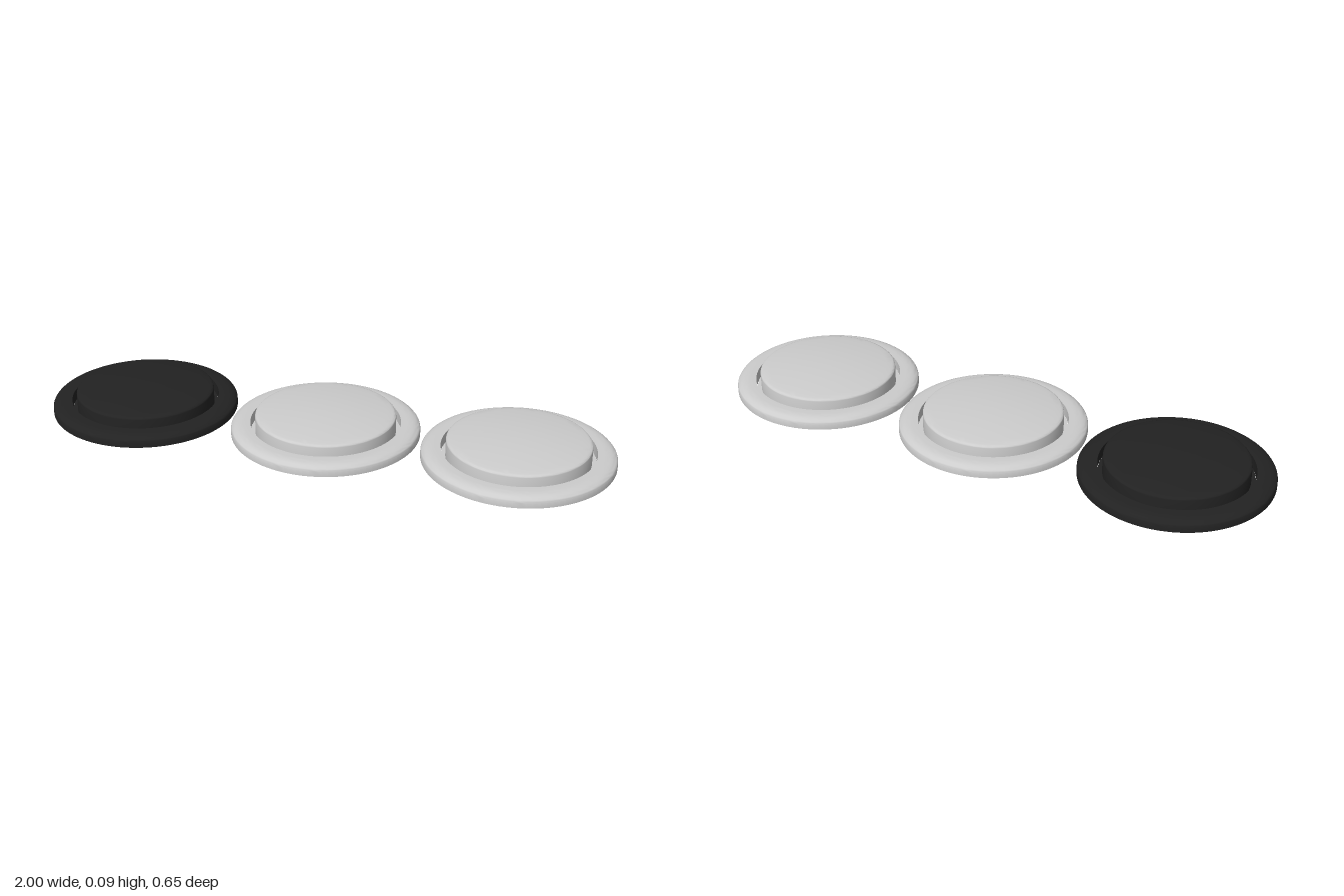
import * as THREE from 'three';
import { toCreasedNormals } from 'three/addons/utils/BufferGeometryUtils.js';

// Turned part from a profile of [radius, height] points, listed bottom, outside, top, inside
function turned(name, points, material) {
  const profile = points.map(([r, y]) => new THREE.Vector2(r, y));
  const geometry = toCreasedNormals(new THREE.LatheGeometry(profile, 96), 0.6);
  const mesh = new THREE.Mesh(geometry, material);
  mesh.name = name;
  return mesh;
}

// Quarter ellipse from the outer wall over to the top face
function roundedEdge(r, y, width, height, steps = 8) {
  return Array.from({ length: steps + 1 }, (_, i) => {
    const a = (i / steps) * Math.PI / 2;
    return [r - width + width * Math.cos(a), y - height + height * Math.sin(a)];
  });
}

// Shallow dome falling from the crown to the rounded shoulder
function dome(radius, rimY, crownY, steps = 12) {
  return Array.from({ length: steps + 1 }, (_, i) => {
    const t = 1 - i / steps;
    return [radius * t, crownY - (crownY - rimY) * t * t];
  });
}

function createButton(name, material) {
  const button = new THREE.Group();
  button.name = name;

  // Outer ring with a rounded outer edge and an open centre
  button.add(turned('bezelRing', [
    [0.26, 0.006], [0.327, 0.006],
    ...roundedEdge(0.327, 0.045, 0.045, 0.02),
    [0.26, 0.045], [0.26, 0.006],
  ], material));

  // Domed cap with a retaining flange beneath the ring
  button.add(turned('cap', [
    [0, 0], [0.258, 0], [0.258, 0.01], [0.243, 0.01],
    [0.243, 0.068], [0.2422, 0.071], [0.24, 0.0735], [0.236, 0.0752],
    ...dome(0.23, 0.0765, 0.092),
  ], material));
  return button;
}

export function createModel() {
  const black = new THREE.MeshStandardMaterial({ color: 0x222222 });
  black.name = 'black';
  const lightGrey = new THREE.MeshStandardMaterial({ color: 0xcccccc });
  lightGrey.name = 'lightGrey';

  // Row of three buttons
  const model = new THREE.Group();
  model.name = 'buttonRow';
  [['rightButton', black], ['middleButton', lightGrey], ['leftButton', lightGrey]].forEach(([name, material], i) => {
    const button = createButton(name, material);
    button.position.x = (i - 1) * 0.673;
    model.add(button);
  });
  return model;
}
